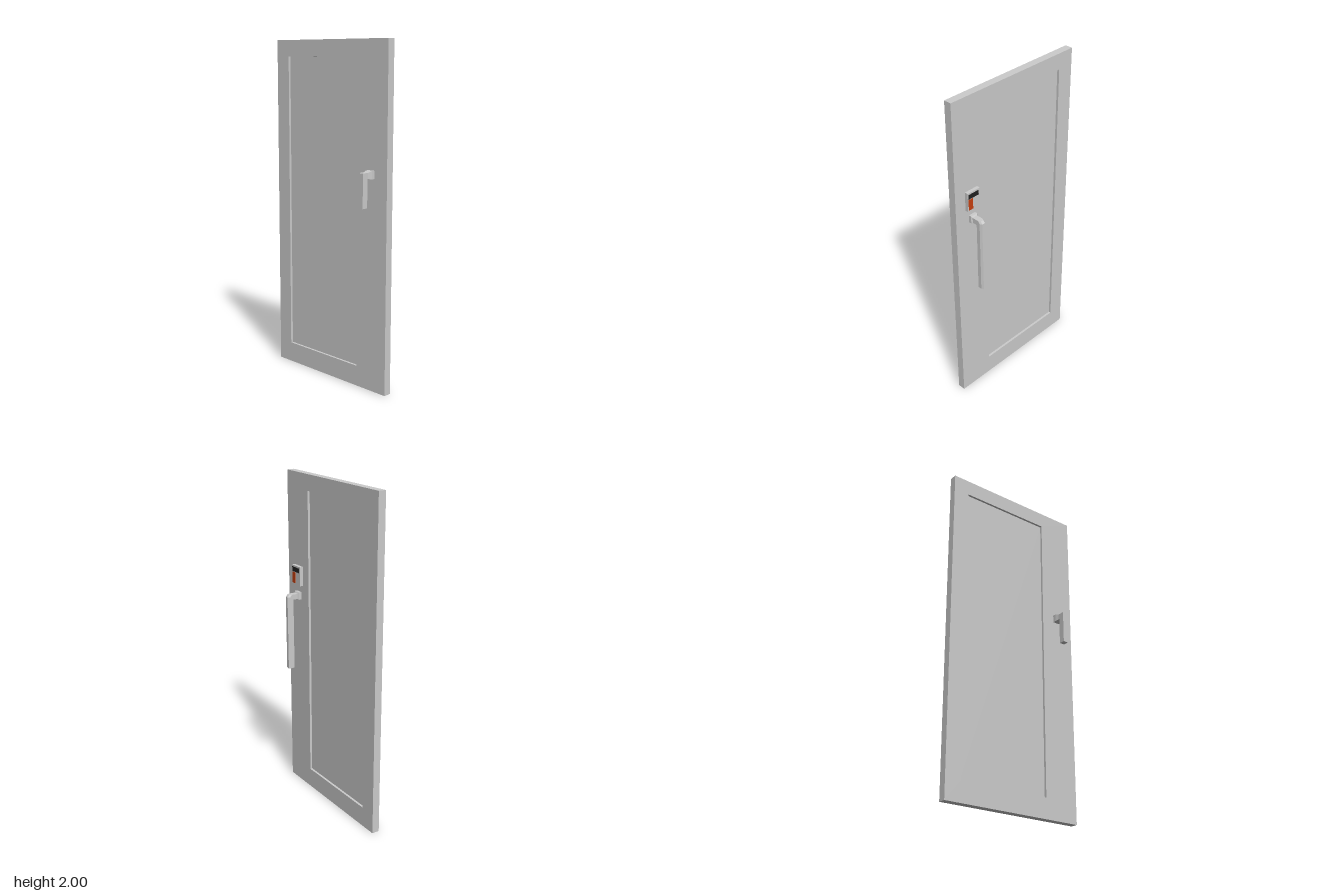
import * as THREE from 'three';

const grey = new THREE.MeshStandardMaterial({ color: 0xcccccc, flatShading: true });
const orange = new THREE.MeshStandardMaterial({ color: 0xc84010 });
const black = new THREE.MeshStandardMaterial({ color: 0x222222 });

// Closed solid through rings of [x, y, z] points, counter-clockwise about the direction of travel
function loft(rings) {
  const pos = [];
  const tri = (a, b, c) => pos.push(...a, ...b, ...c);
  const n = rings[0].length;
  for (let r = 0; r < rings.length - 1; r++) {
    const a = rings[r], b = rings[r + 1];
    for (let i = 0; i < n; i++) {
      const j = (i + 1) % n;
      tri(a[i], a[j], b[j]);
      tri(a[i], b[j], b[i]);
    }
  }
  const first = rings[0], last = rings[rings.length - 1];
  for (let i = 1; i < n - 1; i++) {
    tri(first[0], first[i + 1], first[i]);
    tri(last[0], last[i], last[i + 1]);
  }
  const g = new THREE.BufferGeometry();
  g.setAttribute('position', new THREE.Float32BufferAttribute(pos, 3));
  g.computeVertexNormals();
  return g;
}

// Rectangle ring facing +z
const rectZ = (x, y, w, h, z) => [
  [x - w / 2, y - h / 2, z], [x + w / 2, y - h / 2, z],
  [x + w / 2, y + h / 2, z], [x - w / 2, y + h / 2, z]];

function add(parent, name, geometry, material = grey) {
  const m = new THREE.Mesh(geometry, material);
  m.name = name;
  parent.add(m);
  return m;
}

// Box given by its low and high limits
function addBox(parent, name, [x0, x1], [y0, y1], [z0, z1], material) {
  const m = add(parent, name, new THREE.BoxGeometry(x1 - x0, y1 - y0, z1 - z0), material);
  m.position.set((x0 + x1) / 2, (y0 + y1) / 2, (z0 + z1) / 2);
}

export function createModel() {
  const model = new THREE.Group();
  model.name = 'door';
  const zBack = -0.021, zFront = 0.025, recess = 0.014;
  const [px0, px1, py0, py1] = [-0.35, 0.228, 0.122, 1.905];

  // Door frame with a rectangular opening
  const outline = new THREE.Shape([[-0.45, 0], [0.45, 0], [0.45, 2], [-0.45, 2]].map(p => new THREE.Vector2(...p)));
  outline.holes.push(new THREE.Path([[px0, py0], [px0, py1], [px1, py1], [px1, py0]].map(p => new THREE.Vector2(...p))));
  const frame = new THREE.ExtrudeGeometry(outline, { depth: zFront - zBack, bevelEnabled: false });
  add(model, 'doorFrame', frame.translate(0, 0, zBack));

  // Recessed panel
  addBox(model, 'panel', [px0, px1], [py0, py1], [zBack + recess, zFront - recess]);

  // Sloped sill under the panel on both faces
  for (const [name, zo, zi] of [['frontSill', zFront, zFront - recess], ['backSill', zBack, zBack + recess]]) {
    const ring = x => {
      const p = [[x, py0, zo], [x, py0, zi], [x, py0 + 0.01, zi]];
      return zo > zi ? p.reverse() : p;
    };
    add(model, name, loft([ring(px0), ring(px1)]));
  }

  const hx = 0.333;

  // Front lever: tapered neck and a short hanging grip
  const frontHandle = new THREE.Group();
  frontHandle.name = 'frontHandle';
  model.add(frontHandle);
  add(frontHandle, 'frontNeck', loft([
    rectZ(hx, 1.262, 0.046, 0.046, zFront), rectZ(hx, 1.262, 0.046, 0.046, 0.045),
    rectZ(hx, 1.26, 0.034, 0.034, 0.069), rectZ(hx, 1.26, 0.034, 0.034, 0.11)]));
  addBox(frontHandle, 'frontGrip', [hx - 0.017, hx + 0.017], [1.08, 1.243], [0.074, 0.11]);

  // Back pull: square foot, arm and a long chamfered grip
  const backHandle = new THREE.Group();
  backHandle.name = 'backHandle';
  model.add(backHandle);
  add(backHandle, 'backNeck', loft([
    rectZ(hx, 1.26, 0.034, 0.032, -0.08), rectZ(hx, 1.26, 0.034, 0.032, -0.044),
    rectZ(hx, 1.262, 0.046, 0.046, -0.038), rectZ(hx, 1.262, 0.046, 0.046, zBack)]));
  const gripRing = (y, zo) => [
    [hx + 0.017, y, -0.074], [hx + 0.017, y, zo + 0.014], [hx + 0.010, y, zo],
    [hx - 0.010, y, zo], [hx - 0.017, y, zo + 0.014], [hx - 0.017, y, -0.074]];
  add(backHandle, 'backGrip', loft([gripRing(0.805, -0.111), gripRing(1.262, -0.111), gripRing(1.276, -0.099)]));

  // Lock indicator above the back pull
  const lock = new THREE.Group();
  lock.name = 'lockIndicator';
  model.add(lock);
  addBox(lock, 'lockCase', [0.29, 0.379], [1.328, 1.445], [-0.042, zBack]);
  addBox(lock, 'lockWindow', [0.3, 0.374], [1.407, 1.435], [-0.044, -0.04], black);
  addBox(lock, 'lockFlag', [0.343, 0.374], [1.336, 1.403], [-0.044, -0.04], orange);

  return model;
}
